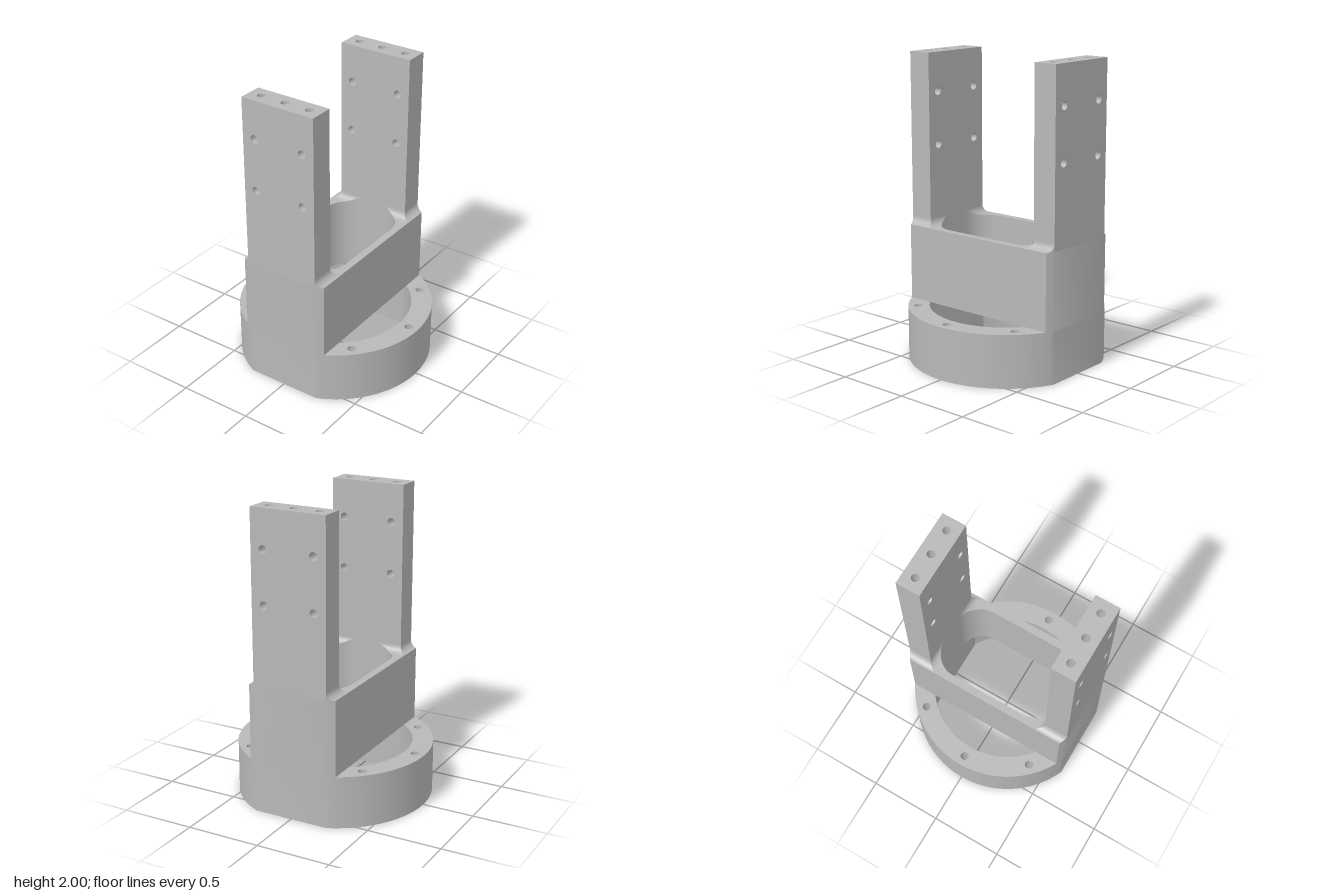
import * as THREE from 'three';
import { toCreasedNormals } from 'three/addons/utils/BufferGeometryUtils.js';

const OUT = 0.597, IN = 0.435, ARM_Z = 0.26, WALL_Z = 0.31, RAD = 0.65;
const BASE_Y = 0.35, BLOCK_Y = 0.855, TOP_Y = 2, SPLIT_Y = 1.82;
const FIL = 0.05, CORNER = 0.17;

// circle cut flat at x = +-xm and, optionally, at z = +-zm
function cutDisc(path, r, xm, zm = r) {
  const a = Math.acos(xm / r), b = Math.asin(Math.min(1, zm / r)), P = Math.PI;
  const arcs = zm < r
    ? [[a, b], [P - b, P - a], [P + a, P + b], [2 * P - b, 2 * P - a]]
    : [[a, P - a], [P + a, 2 * P - a]];
  arcs.forEach(([s, e]) => path.absarc(0, 0, r, s, e, false));
  path.closePath();
  return path;
}

function roundRect(path, w, h, r) {
  const P = Math.PI;
  path.absarc(w - r, h - r, r, 0, P / 2, false);
  path.absarc(r - w, h - r, r, P / 2, P, false);
  path.absarc(r - w, r - h, r, P, 1.5 * P, false);
  path.absarc(w - r, r - h, r, 1.5 * P, 2 * P, false);
  path.closePath();
  return path;
}

function rect(x, y0, y1) {
  return new THREE.Shape([[-x, y0], [x, y0], [x, y1], [-x, y1]].map(p => new THREE.Vector2(...p)));
}

function drill(shape, x, y, r) {
  shape.holes.push(new THREE.Path().absarc(x, y, r, 0, Math.PI * 2, true));
}

function extrude(shape, depth, seg = 20) {
  return toCreasedNormals(
    new THREE.ExtrudeGeometry(shape, { depth, bevelEnabled: false, curveSegments: seg }), 0.5);
}

// plan shape raised from y0 to y1
function raise(shape, y0, y1, seg) {
  return extrude(shape, y1 - y0, seg).rotateX(-Math.PI / 2).translate(0, y0, 0);
}

// smooth surface patch from f(u, v) -> [x, y, z]
function patch(nu, nv, f) {
  const pos = [], idx = [];
  for (let i = 0; i <= nu; i++) for (let j = 0; j <= nv; j++) pos.push(...f(i / nu, j / nv));
  for (let i = 0; i < nu; i++) for (let j = 0; j < nv; j++) {
    const a = i * (nv + 1) + j, b = a + nv + 1;
    idx.push(a, a + 1, b, b, a + 1, b + 1);
  }
  const g = new THREE.BufferGeometry();
  g.setAttribute('position', new THREE.Float32BufferAttribute(pos, 3));
  g.setIndex(idx);
  g.computeVertexNormals();
  return g;
}

// concave fillet height at distance d from the arm
const filletY = d => BLOCK_Y + FIL - Math.sqrt(Math.max(0, FIL ** 2 - (FIL - d) ** 2));
const easeD = u => FIL * (1 - Math.cos(u * Math.PI / 2));
const outerX = z => Math.min(OUT, Math.sqrt(RAD ** 2 - z * z));

// half width of the block's opening at a given z
function openingX(z) {
  const k = Math.abs(z) - (ARM_Z - CORNER);
  if (k <= 0) return IN;
  if (k >= CORNER) return 0;
  return IN - CORNER + Math.sqrt(CORNER ** 2 - k * k);
}

export function createModel() {
  const model = new THREE.Group();
  const metal = new THREE.MeshStandardMaterial({ color: 0xb8b8b8, side: THREE.DoubleSide });
  metal.name = 'grey metal';
  const add = (name, geo, parent = model) => {
    const m = new THREE.Mesh(geo, metal);
    m.name = name;
    parent.add(m);
    return m;
  };

  // base flange with six bolt holes
  const flange = cutDisc(new THREE.Shape(), RAD, OUT);
  flange.holes.push(cutDisc(new THREE.Path(), 0.51, IN));
  for (const deg of [45, 90, 135, 225, 270, 315]) {
    const t = deg * Math.PI / 180;
    drill(flange, 0.583 * Math.cos(t), 0.583 * Math.sin(t), 0.028);
  }
  add('baseFlange', raise(flange, 0, BASE_Y, 32));

  // middle block with rounded opening
  const block = cutDisc(new THREE.Shape(), RAD, OUT, WALL_Z);
  block.holes.push(roundRect(new THREE.Path(), IN, ARM_Z, CORNER));
  add('middleBlock', raise(block, BASE_Y, BLOCK_Y, 12));

  // fillet along the inside of an arm, trimmed by the opening
  const zAt = v => -WALL_Z + 2 * WALL_Z * v;
  const dMin = z => Math.min(FIL, Math.max(0, Math.abs(z) - ARM_Z));
  const dMax = z => Math.min(FIL, IN - openingX(z));
  const innerFillet = patch(10, 62, (u, v) => {
    const z = zAt(v), a = dMin(z), d = a + (dMax(z) - a) * (1 - Math.cos(u * Math.PI / 2));
    return [IN - d, filletY(d), z];
  });
  const innerEdge = patch(1, 62, (u, v) => {
    const z = zAt(v), d = dMax(z);
    return [IN - d, BLOCK_Y + (filletY(d) - BLOCK_Y) * u, z];
  });

  for (const side of [1, -1]) {
    const arm = new THREE.Group();
    arm.name = side > 0 ? 'leftArm' : 'rightArm';
    if (side < 0) arm.rotation.y = Math.PI;
    model.add(arm);

    // upright plate with four cross holes
    const plate = rect(ARM_Z, BLOCK_Y, SPLIT_Y);
    for (const z of [-0.175, 0.175]) for (const y of [1.395, 1.745]) drill(plate, z, y, 0.027);
    add('armPlate', extrude(plate, OUT - IN, 12).rotateY(Math.PI / 2).translate(IN, 0, 0), arm);

    // arm end with three screw holes in its top
    const end = rect((OUT - IN) / 2, -ARM_Z, ARM_Z);
    for (const z of [-0.175, 0, 0.175]) drill(end, 0, z, 0.026);
    add('armEnd', raise(end, SPLIT_Y, TOP_Y, 12).translate((OUT + IN) / 2, 0, 0), arm);

    // fillets on the front and back of the arm, with their outer ends
    for (const s of [1, -1]) {
      add('armFillet', patch(10, 4, (u, v) => {
        const d = easeD(u), z = ARM_Z + d, x = IN - d;
        return [x + (outerX(z) - x) * v, filletY(d), s * z];
      }), arm);
      add('armFilletEnd', patch(10, 1, (u, v) => {
        const d = easeD(u), z = ARM_Z + d;
        return [outerX(z), BLOCK_Y + (filletY(d) - BLOCK_Y) * v, s * z];
      }), arm);
    }

    // fillets above the block and, mirrored, under it
    add('innerFillet', innerFillet, arm);
    add('innerFilletEdge', innerEdge, arm);
    const under = new THREE.Group();
    under.name = 'underFillet';
    under.rotation.z = Math.PI;
    under.position.y = BASE_Y + BLOCK_Y;
    add('lowerFillet', innerFillet, under);
    add('lowerFilletEdge', innerEdge, under);
    arm.add(under);
  }
  // the lower fillets turn about z, so each sits under the opposite arm
  return model;
}
